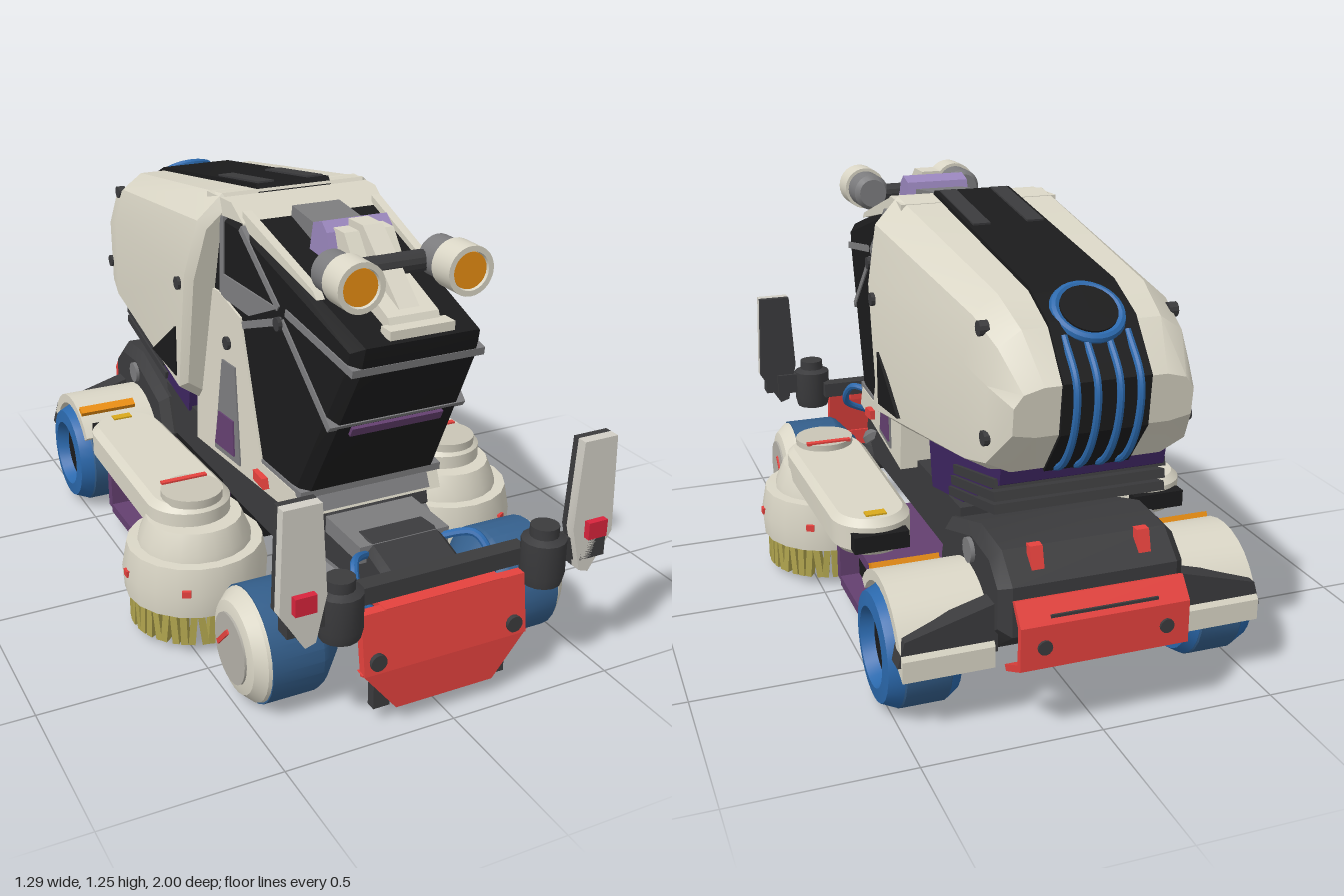
import * as THREE from 'three';
import { toCreasedNormals } from 'three/addons/utils/BufferGeometryUtils.js';

const CREAM = 0xdad6c6, BLACK = 0x1b1b1c, DARK = 0x3b3b3d, GREY = 0x7c7c7e, BLUE = 0x2b69ad, TYRE = 0x345f8c,
  RED = 0xe5423e, PURPLE = 0x644070, VIOLET = 0x3d2560, LILAC = 0x9a86bd, BRISTLE = 0xb0a44e, ORANGE = 0xe88d12;
const V = (x, y, z) => new THREE.Vector3(x, y, z);

// Side profile in (z, y), extruded across x and centred on cx
function side(pts, w, cx = 0, bevel = 0) {
  const g = new THREE.ExtrudeGeometry(new THREE.Shape(pts.map(p => new THREE.Vector2(...p))), {
    depth: w - 2 * bevel, bevelEnabled: bevel > 0, bevelThickness: bevel, bevelSize: bevel, bevelOffset: -bevel, bevelSegments: 1 });
  return g.translate(0, 0, bevel - w / 2).rotateY(-Math.PI / 2).translate(cx, 0, 0);
}
// Front outline in (x, y), extruded along z from z0
function front(pts, z0, d) {
  return new THREE.ExtrudeGeometry(new THREE.Shape(pts.map(p => new THREE.Vector2(...p))), { depth: d, bevelEnabled: false }).translate(0, 0, z0);
}
const box = (w, h, d, x, y, z, rx = 0) => new THREE.BoxGeometry(w, h, d).rotateX(rx).translate(x, y, z);
// Lathe profile of [radius, height]; axis is y, x or z
function lathe(pts, axis, x, y, z, n = 28) {
  const g = new THREE.LatheGeometry(pts.map(p => new THREE.Vector2(...p)), n);
  if (axis === 'x') g.rotateZ(-Math.PI / 2);
  if (axis === 'z') g.rotateX(Math.PI / 2);
  return g.translate(x, y, z);
}
const disc = (r, h, axis, x, y, z, n = 24) => lathe([[0, -h / 2], [r, -h / 2], [r, h / 2], [0, h / 2]], axis, x, y, z, n);
const tube = (pts, r) => new THREE.TubeGeometry(new THREE.CatmullRomCurve3(pts.map(p => V(...p))), 24, r, 8);
// Straight bar in the (z, y) plane, as a polygon
function bar(a, b, t) {
  const l = Math.hypot(b[0] - a[0], b[1] - a[1]), nx = -(b[1] - a[1]) / l * t / 2, ny = (b[0] - a[0]) / l * t / 2;
  return [[a[0] - nx, a[1] - ny], [b[0] - nx, b[1] - ny], [b[0] + nx, b[1] + ny], [a[0] + nx, a[1] + ny]];
}
// Skin over rings running front to back, each counter-clockwise seen from the front
function loft(rings) {
  const out = [], tri = (...p) => p.forEach(v => out.push(...v)), n = rings[0].length;
  for (let i = 0; i < rings.length - 1; i++) for (let j = 0; j < n; j++) {
    const k = (j + 1) % n, [a, b, c, d] = [rings[i][j], rings[i][k], rings[i + 1][k], rings[i + 1][j]];
    tri(a, d, c); tri(a, c, b);
  }
  const f = rings[0], r = rings[rings.length - 1];
  for (let j = 1; j < n - 1; j++) { tri(f[0], f[j], f[j + 1]); tri(r[0], r[j + 1], r[j]); }
  const g = new THREE.BufferGeometry();
  g.setAttribute('position', new THREE.Float32BufferAttribute(out, 3));
  g.computeVertexNormals();
  return g;
}
// Cab sides lean in towards the front and the top
function taper(g) {
  const p = g.attributes.position;
  for (let i = 0; i < p.count; i++) p.setX(i, p.getX(i) * (1 - 0.28 * (p.getZ(i) - 0.1) - 0.1 * (p.getY(i) - 0.5)));
  g.computeVertexNormals();
  return g;
}
function mirrored(geo) {
  const g = geo.index ? geo.toNonIndexed() : geo.clone(), p = g.attributes.position;
  const a = V(0, 0, 0), b = V(0, 0, 0);
  g.scale(-1, 1, 1);
  for (let i = 0; i < p.count; i += 3) {
    a.fromBufferAttribute(p, i + 1); b.fromBufferAttribute(p, i + 2);
    p.setXYZ(i + 1, b.x, b.y, b.z); p.setXYZ(i + 2, a.x, a.y, a.z);
  }
  g.computeVertexNormals();
  return g;
}

export function createModel() {
  const model = new THREE.Group(), mats = {};
  const add = (name, geo, color) => {
    mats[color] ??= new THREE.MeshStandardMaterial({ color });
    const m = new THREE.Mesh(toCreasedNormals(geo, 0.5), mats[color]);
    m.name = name;
    model.add(m);
  };
  const pair = (name, geo, color) => { add(name + 'Left', geo, color); add(name + 'Right', mirrored(geo), color); };

  // Rear tank: [zTop, zBottom, top, bottom, half width]
  const tankRing = ([zt, zb, t, b, w]) => {
    const h = t - b, half = [[0.75, 0], [1, 0.09], [1, 0.64], [0.9, 0.89], [0.68, 1]].map(([x, f]) => [x * w, b + f * h, zb + (zt - zb) * f]);
    return [...half, ...half.map(([x, y, z]) => [-x, y, z]).reverse()];
  };
  add('tank', loft([[0.05, -0.07, 1.21, 0.58, 0.315], [0.03, -0.09, 1.24, 0.56, 0.337], [-0.73, -0.75, 1.13, 0.67, 0.295],
    [-0.86, -0.85, 1.07, 0.7, 0.275], [-0.955, -0.94, 0.95, 0.82, 0.24]].map(tankRing)), CREAM);
  add('tankBand', side([[0.06, 1.2], [0.02, 1.252], [-0.73, 1.142], [-0.86, 1.082], [-0.963, 0.955], [-0.95, 0.82], [-0.85, 0.69], [-0.7, 0.8], [-0.6, 1]], 0.236), BLACK);
  pair('roofSlot', box(0.05, 0.012, 0.3, 0.08, 1.228, -0.14, -0.145), DARK);
  pair('tankVent', side([[-0.1, 0.81], [-0.3, 0.67], [-0.1, 0.65]], 0.01, 0.335), BLACK);
  for (const [z, y, x] of [[-0.06, 0.96, 0.333], [-0.45, 1.03, 0.28], [-0.78, 1.06, 0.258], [-0.85, 0.8, 0.272], [-0.08, 0.5, 0.245], [0.1, 0.81, 0.247], [0.39, 0.96, 0.22]])
    pair('bolt', disc(0.02, 0.025, 'x', x, y, z, 12), DARK);

  // Filler cap and hoses at the back
  const ring = new THREE.TorusGeometry(0.085, 0.014, 8, 28).rotateX(-Math.PI / 2 - 0.0).rotateX(-0.6).translate(0, 1.09, -0.83);
  add('fillerRing', ring, BLUE);
  add('fillerCap', disc(0.075, 0.03, 'y', 0, 0, 0).rotateX(-0.6).translate(0, 1.09, -0.83), BLACK);
  for (const x of [-0.085, -0.03, 0.03, 0.085])
    add('rearHose', tube([[x, 1.05, -0.88], [x, 0.95, -0.965], [x, 0.83, -0.958], [x, 0.72, -0.89], [x, 0.68, -0.8]], 0.01), BLUE);

  // Underside of the tank with louvres
  add('tankSkirt', side([[-0.25, 0.6], [-0.84, 0.71], [-0.83, 0.66], [-0.55, 0.5], [-0.28, 0.44]], 0.46), VIOLET);
  for (let i = 0; i < 3; i++)
    add('louvre', side(bar([-0.46 - i * 0.02, 0.5 + i * 0.04], [-0.82, 0.59 + i * 0.035], 0.025), 0.48), DARK);

  // Cab: glass body, overlapping frames and door
  add('cabGlass', taper(side([[0.775, 1.01], [0.755, 0.93], [0.52, 0.49], [0.3, 0.46], [-0.05, 0.46], [-0.02, 1.2], [0.16, 1.19]], 0.5, 0, 0.03)), BLACK);
  add('cabFrame', taper(side([[0.53, 0.43], [0.5, 0.5], [0.31, 0.51], [0.17, 0.91], [0.04, 0.95], [-0.1, 0.95], [-0.1, 0.43]], 0.515)), CREAM);
  add('doorInset', taper(side([[0.19, 0.45], [0.15, 0.75], [0.07, 0.75], [0.03, 0.45]], 0.525)), GREY);
  add('doorStep', taper(side([[0.16, 0.47], [0.15, 0.58], [0.06, 0.58], [0.04, 0.47]], 0.535)), PURPLE);
  add('windowPanel', taper(side([[0.38, 1.0], [0.06, 1.01], [0.05, 0.94], [0.22, 0.93]], 0.512)), GREY);
  for (const [a, b] of [[[0.76, 0.94], [0.42, 1.0]], [[0.66, 0.75], [0.4, 0.97]], [[0.4, 0.97], [0.18, 0.89]], [[0.38, 1.0], [0.16, 1.17]], [[0.05, 0.95], [0.05, 1.18]], [[0.53, 0.5], [0.3, 0.51]]])
    add('windowBar', taper(side(bar(a, b, 0.022), 0.51)), GREY);
  add('roofFrame', taper(side([[0.17, 1.185], [0.1, 1.23], [-0.05, 1.23], [-0.05, 1.1], [0.05, 1.18]], 0.5)), CREAM);
  pair('roofRail', taper(side([[0.56, 1.075], [0.54, 1.095], [0.15, 1.215], [0.15, 1.17]], 0.03, 0.225)), CREAM);
  add('windscreenStrip', box(0.28, 0.03, 0.03, 0, 0.735, 0.645, 0.5), PURPLE);
  add('cabLip', side([[0.55, 0.45], [0.53, 0.49], [0.4, 0.49], [0.4, 0.43]], 0.36), GREY);
  pair('cabLamp', side([[0.36, 0.45], [0.35, 0.48], [0.29, 0.485], [0.29, 0.455]], 0.03, 0.245), RED);

  // Roof lamp bracket and headlamps
  add('lampBracket', side([[0.56, 1.12], [0.48, 1.22], [0.42, 1.22], [0.42, 1.1], [0.6, 1.03], [0.74, 1.02], [0.72, 1.06]], 0.15), CREAM);
  add('bracketSpine', side([[0.7, 1.07], [0.5, 1.24], [0.42, 1.24], [0.42, 1.1], [0.6, 1.04]], 0.06), CREAM);
  add('bracketFoot', box(0.19, 0.025, 0.05, 0, 1.03, 0.745), CREAM);
  add('bracketBase', side([[0.36, 1.13], [0.34, 1.2], [0.17, 1.22], [0.16, 1.16]], 0.15), GREY);
  add('bracketClamp', side([[0.46, 1.13], [0.43, 1.21], [0.4, 1.235], [0.35, 1.22], [0.33, 1.14]], 0.2), LILAC);
  add('lampAxle', disc(0.03, 0.26, 'x', 0, 1.15, 0.58, 12), DARK);
  pair('lampBody', lathe([[0, 0.55], [0.045, 0.55], [0.058, 0.57], [0.058, 0.66], [0, 0.66]], 'z', 0.16, 1.155, 0), GREY);
  pair('lampHood', lathe([[0, 0.65], [0.068, 0.65], [0.068, 0.735], [0.053, 0.735], [0.051, 0.72], [0, 0.72]], 'z', 0.16, 1.155, 0), CREAM);
  pair('lampLens', disc(0.05, 0.012, 'z', 0.16, 1.155, 0.722), ORANGE);

  // Chassis
  add('deck', side([[0.48, 0.36], [0.46, 0.44], [-0.5, 0.46], [-0.5, 0.28], [0.4, 0.28]], 0.44), DARK);
  add('belly', box(0.44, 0.24, 0.42, 0, 0.18, -0.24), BLACK);
  add('frontAxleHousing', side([[0.85, 0.22], [0.84, 0.38], [0.7, 0.42], [0.45, 0.4], [0.4, 0.3], [0.52, 0.12], [0.76, 0.12]], 0.24, 0, 0.02), DARK);
  add('axleCover', box(0.28, 0.05, 0.2, 0, 0.39, 0.62), GREY);
  add('frontAxle', disc(0.05, 0.56, 'x', 0, 0.175, 0.665, 14), DARK);
  add('rearAxle', disc(0.06, 0.8, 'x', 0, 0.18, -0.68, 14), DARK);
  add('rearHousing', side([[-0.42, 0.3], [-0.46, 0.42], [-0.7, 0.5], [-0.85, 0.49], [-0.93, 0.42], [-0.93, 0.28], [-0.82, 0.2], [-0.5, 0.14]], 0.52, 0, 0.03), DARK);
  pair('rearHub', disc(0.035, 0.02, 'x', 0.262, 0.43, -0.7, 14), GREY);
  pair('steeringPipe', tube([[0.16, 0.27, 0.62], [0.2, 0.31, 0.5], [0.19, 0.38, 0.36], [0.16, 0.4, 0.22]], 0.03), GREY);
  pair('frontHose', tube([[0.1, 0.38, 0.7], [0.19, 0.41, 0.78], [0.2, 0.33, 0.85], [0.1, 0.27, 0.88]], 0.012), BLUE);

  // Wheels
  pair('frontTyre', lathe([[0, 0.22], [0.09, 0.22], [0.155, 0.28], [0.165, 0.3], [0.165, 0.45], [0, 0.45]], 'x', 0, 0.17, 0.665), TYRE);
  pair('frontHubcap', lathe([[0, 0.44], [0.163, 0.44], [0.158, 0.46], [0.13, 0.49], [0.105, 0.497], [0, 0.497]], 'x', 0, 0.17, 0.665), CREAM);
  pair('hubcapDisc', disc(0.1, 0.01, 'x', 0.498, 0.17, 0.665), 0xb4b1a8);
  pair('hubcapMark', side(bar([0.66, 0.22], [0.59, 0.15], 0.014), 0.01, 0.503), RED);
  pair('rearTyre', lathe([[0, 0.33], [0.15, 0.33], [0.168, 0.36], [0.168, 0.49], [0.15, 0.53], [0.11, 0.535], [0.095, 0.49], [0, 0.49]], 'x', 0, 0.18, -0.68), BLUE);
  pair('rearTread', lathe([[0.16, 0.35], [0.171, 0.365], [0.171, 0.485], [0.16, 0.5]], 'x', 0, 0.18, -0.68), TYRE);
  pair('rearHubDisc', disc(0.09, 0.02, 'x', 0.49, 0.18, -0.68), BLACK);
  const arc = (r, a0, a1) => Array.from({ length: 11 }, (_, i) => {
    const a = (a0 + (a1 - a0) * i / 10) * Math.PI / 180;
    return [-0.68 + r * Math.cos(a), 0.18 + r * Math.sin(a)];
  });
  pair('rearFender', side([...arc(0.205, 35, 150), [-0.89, 0.24], [-0.89, 0.18], [-0.85, 0.2], ...arc(0.175, 150, 35)], 0.25, 0.385), CREAM);
  pair('fenderLamp', box(0.19, 0.02, 0.03, 0.41, 0.366, -0.585, 0.45), ORANGE);
  pair('fenderBracket', front([[0.25, 0.22], [0.52, 0.22], [0.5, 0.29], [0.25, 0.36]], -0.88, 0.06), DARK);

  // Hollow side boxes between the wheels
  for (const [y, h, z, d] of [[0.065, 0.03, -0.24, 0.38], [0.265, 0.03, -0.24, 0.44], [0.165, 0.2, -0.035, 0.035], [0.165, 0.2, -0.443, 0.035]])
    pair('sideBoxWall', box(0.26, h, d, 0.33, y, z), PURPLE);
  pair('sideBoxPanel', box(0.2, 0.19, 0.4, 0.3, 0.165, -0.24), BLACK);
  pair('sideBoxRod', box(0.04, 0.1, 0.06, 0.24, 0.2, -0.49), PURPLE);

  // Brush arms, housings and bristles
  const bx = 0.425, bz = 0.235, pod = new THREE.Shape();
  pod.moveTo(0.53, 0.3);
  pod.absarc(0.43, 0.31, 0.115, 0, Math.PI, false);
  pod.lineTo(0.305, -0.2);
  pod.absarc(0.43, -0.2, 0.125, Math.PI, Math.PI * 2, false);
  pair('brushArm', new THREE.ExtrudeGeometry(pod, { depth: 0.07, bevelThickness: 0.02, bevelSize: 0.02, bevelOffset: -0.02, bevelSegments: 1, curveSegments: 10 })
    .rotateX(-Math.PI / 2).translate(0, 0.33, 0), CREAM);
  pair('armEnd', box(0.16, 0.05, 0.04, 0.43, 0.36, -0.42), BLACK);
  pair('armCap', disc(0.09, 0.025, 'y', 0.43, 0.427, bz), 0xc9c5b6);
  pair('armMark', box(0.14, 0.008, 0.018, 0.43, 0.441, 0.175), RED);
  pair('armSticker', box(0.06, 0.008, 0.03, 0.43, 0.421, -0.37), 0xd9a91c);
  pair('brushNeck', lathe([[0, 0.25], [0.17, 0.25], [0.165, 0.3], [0.14, 0.36], [0, 0.36]], 'y', bx, 0, bz, 20), CREAM);
  pair('brushHousing', lathe([[0.14, 0.13], [0.21, 0.13], [0.215, 0.2], [0.2, 0.28], [0, 0.285]], 'y', bx, 0, bz, 20), CREAM);
  pair('brushCore', disc(0.15, 0.03, 'y', bx, 0.145, bz, 20), DARK);
  for (const a of [0.5, 1.57, 2.64])
    pair('housingMark', new THREE.BoxGeometry(0.025, 0.02, 0.01).translate(0, 0.21, 0.213).rotateY(a).translate(bx, 0, bz), RED);
  for (let i = 0; i < 44; i++) {
    const a = i / 44 * Math.PI * 2, tilt = 0.12 * Math.sin(i * 2.4);
    pair('bristle', new THREE.BoxGeometry(0.02, 0.115, 0.035).rotateZ(tilt).translate(0, 0.09, 0.18).rotateY(a).translate(bx, 0, bz), BRISTLE);
  }

  // Front blade
  add('bladeUpper', side([[0.9, 0.35], [0.93, 0.35], [0.955, 0.18], [0.93, 0.17]], 0.5), RED);
  add('bladeLower', front([[-0.255, 0.175], [-0.15, 0.055], [0.15, 0.055], [0.255, 0.175]].map(([x, y]) => y > 0.1 ? [x, y + 0.01] : [x, y]), 0.92, 0.03), RED);
  add('bladeLip', side([[0.86, 0.33], [0.86, 0.35], [0.93, 0.352], [0.93, 0.33]], 0.36), RED);
  pair('bladeBolt', disc(0.024, 0.03, 'z', 0.21, 0.215, 0.945, 14), DARK);
  pair('bladeSkid', box(0.05, 0.1, 0.03, 0.18, 0.1, 0.91), DARK);
  add('bladeMount', box(0.2, 0.16, 0.1, 0, 0.26, 0.87), DARK);

  // Marker paddles on swivel posts
  add('paddleBeam', box(0.56, 0.05, 0.05, 0, 0.38, 0.87), DARK);
  pair('swivelPost', lathe([[0, 0.31], [0.055, 0.31], [0.062, 0.34], [0.062, 0.44], [0.04, 0.45], [0.04, 0.48], [0, 0.48]], 'y', 0.31, 0, 0.925, 14), DARK);
  pair('paddleArm', box(0.12, 0.07, 0.04, 0.38, 0.4, 0.93), DARK);
  const paddle = [[0.49, 0.725], [0.385, 0.725], [0.37, 0.47], [0.4, 0.34], [0.43, 0.33], [0.5, 0.44]].reverse();
  pair('paddleBack', front(paddle, 0.92, 0.02), DARK);
  pair('paddle', front(paddle, 0.94, 0.03), 0xd2cfc6);
  pair('paddleBase', box(0.08, 0.1, 0.05, 0.44, 0.42, 0.945), DARK);
  pair('paddleReflector', box(0.06, 0.05, 0.03, 0.437, 0.465, 0.975), 0xd8243c);

  // Rear bumper and lamps
  add('rearBumper', side([[-0.94, 0.39], [-0.955, 0.395], [-1, 0.34], [-1, 0.22], [-0.9, 0.17], [-0.89, 0.185], [-0.98, 0.23], [-0.98, 0.335]], 0.47), RED);
  add('bumperMount', box(0.3, 0.14, 0.1, 0, 0.29, -0.94), DARK);
  pair('bumperBolt', disc(0.02, 0.02, 'z', 0.17, 0.28, -0.997, 12), DARK);
  pair('rearLamp', side([[-0.87, 0.42], [-0.86, 0.505], [-0.885, 0.505], [-0.905, 0.43]], 0.035, 0.15), RED);
  return model;
}
